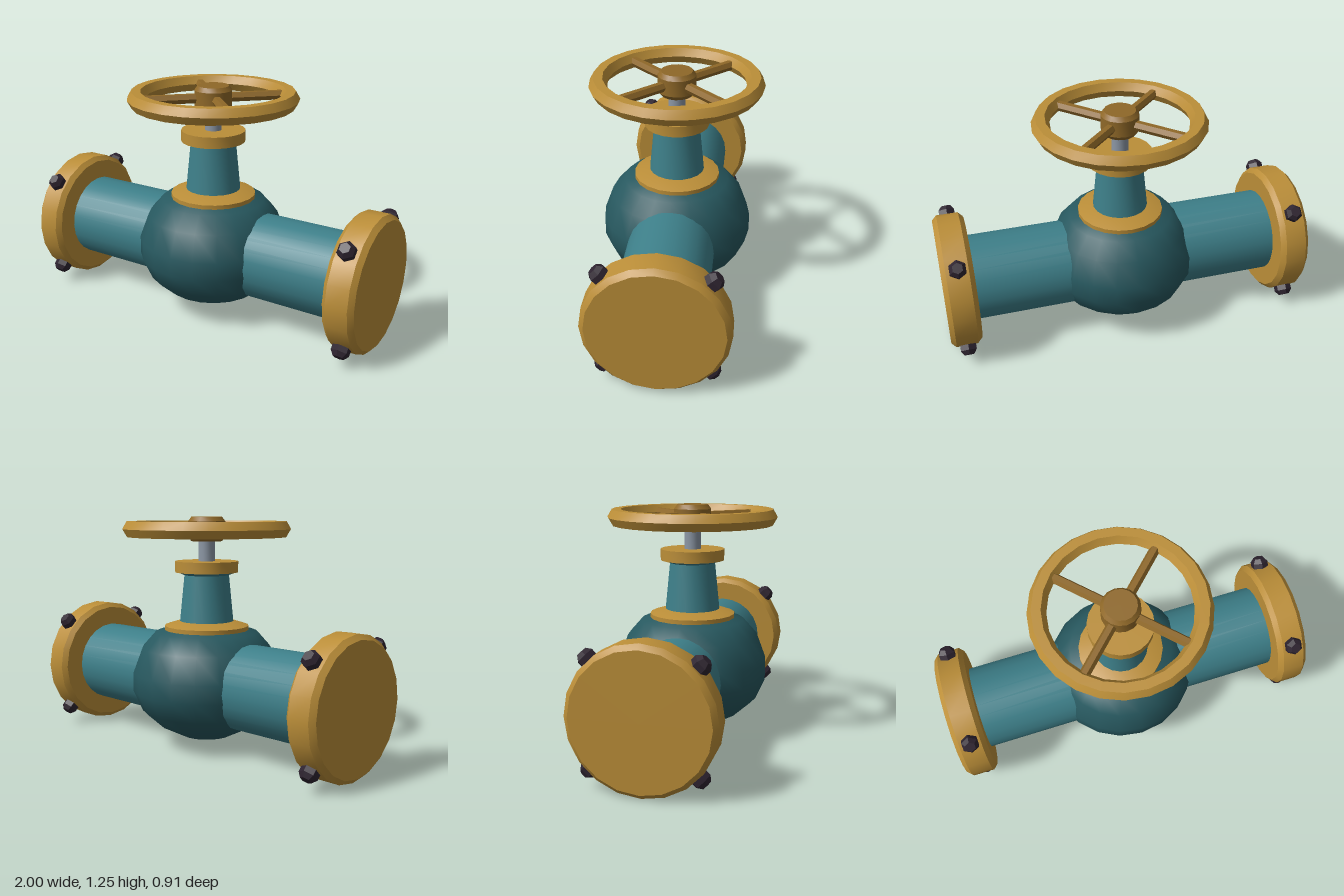
import * as THREE from 'three';
import { toCreasedNormals } from 'three/addons/utils/BufferGeometryUtils.js';

const paint = (name, color) => {
  const m = new THREE.MeshStandardMaterial({ color });
  m.name = name;
  return m;
};

// Revolve a bottom-to-top profile of [radius, height] pairs around y
const turned = (profile, sides, crease = 0.5) =>
  toCreasedNormals(
    new THREE.LatheGeometry(profile.map(([r, y]) => new THREE.Vector2(r, y)), sides), crease);

export function createModel() {
  const teal = paint('pipe teal', 0x3d7f89);
  const darkTeal = paint('body dark teal', 0x27585f);
  const gold = paint('brass gold', 0xbb8e38);
  const bronze = paint('hub bronze', 0x8f6828);
  const steel = paint('stem steel', 0x8c97a5);
  const iron = paint('bolt iron', 0x2e2430);

  const model = new THREE.Group();
  model.name = 'globeValve';
  const add = (name, geometry, material, parent = model) => {
    const mesh = new THREE.Mesh(geometry, material);
    mesh.name = name;
    parent.add(mesh);
    return mesh;
  };

  const axisY = 0.36;

  // Rounded valve body
  add('valveBody', turned([
    [0, 0.03], [0.14, 0.055], [0.26, 0.115], [0.355, 0.2], [0.405, 0.31],
    [0.405, 0.41], [0.355, 0.545], [0.28, 0.63], [0.14, 0.665], [0, 0.68],
  ], 20, 1.0), darkTeal);

  // Through pipe
  const pipe = add('pipe', turned([[0.23, -0.86], [0.23, 0.86]], 24), teal);
  pipe.rotation.z = Math.PI / 2;
  pipe.position.y = axisY;

  // Flanges with radial hex bolts, one per side
  const flangeGeo = turned([
    [0, 0.835], [0.335, 0.835], [0.36, 0.86], [0.36, 0.975], [0.335, 1], [0, 1],
  ], 20);
  const boltGeo = turned([
    [0, 0.33], [0.048, 0.33], [0.048, 0.385], [0.029, 0.409], [0, 0.409],
  ], 6, 0.3);
  boltGeo.rotateY(0);
  for (const side of [1, -1]) {
    const end = new THREE.Group();
    end.name = side > 0 ? 'leftEnd' : 'rightEnd';
    end.position.y = axisY;
    model.add(end);
    add('flange', flangeGeo, gold, end).rotation.z = -side * Math.PI / 2;
    for (let i = 0; i < 4; i++) {
      const bolt = add('flangeBolt', boltGeo, iron, end);
      bolt.rotation.x = Math.PI / 4 + i * Math.PI / 2;
      bolt.position.x = side * 0.915;
    }
  }

  // Collar, tapered bonnet, gland cap and stem
  add('collar', turned([
    [0, 0.635], [0.23, 0.635], [0.23, 0.665], [0.15, 0.69], [0, 0.69],
  ], 20, 0.4), gold);
  add('bonnet', turned([[0.148, 0.68], [0.122, 0.94], [0.165, 0.956]], 20), teal);
  add('glandCap', turned([
    [0, 0.955], [0.172, 0.955], [0.172, 1.015], [0, 1.015],
  ], 20), gold);
  add('stem', turned([[0.045, 1.0], [0.045, 1.14]], 16), steel);

  // Handwheel: six-sided rim, four spokes and a bevelled hub
  const wheel = new THREE.Group();
  wheel.name = 'handwheel';
  wheel.position.y = 1.187;
  model.add(wheel);
  const rimGeo = toCreasedNormals(new THREE.TorusGeometry(0.407, 0.048, 6, 24), 0.5);
  add('rim', rimGeo, gold, wheel).rotation.x = Math.PI / 2;
  add('hub', turned([
    [0, -0.065], [0.083, -0.065], [0.1, -0.042], [0.1, 0.042], [0.083, 0.065], [0, 0.065],
  ], 16), bronze, wheel);
  const spokeGeo = toCreasedNormals(new THREE.CylinderGeometry(0.027, 0.027, 0.32, 6), 0.5);
  spokeGeo.rotateZ(Math.PI / 2).translate(0.22, 0, 0);
  for (let i = 0; i < 4; i++) {
    add('spoke', spokeGeo, bronze, wheel).rotation.y = Math.PI / 4 + i * Math.PI / 2;
  }

  return model;
}
